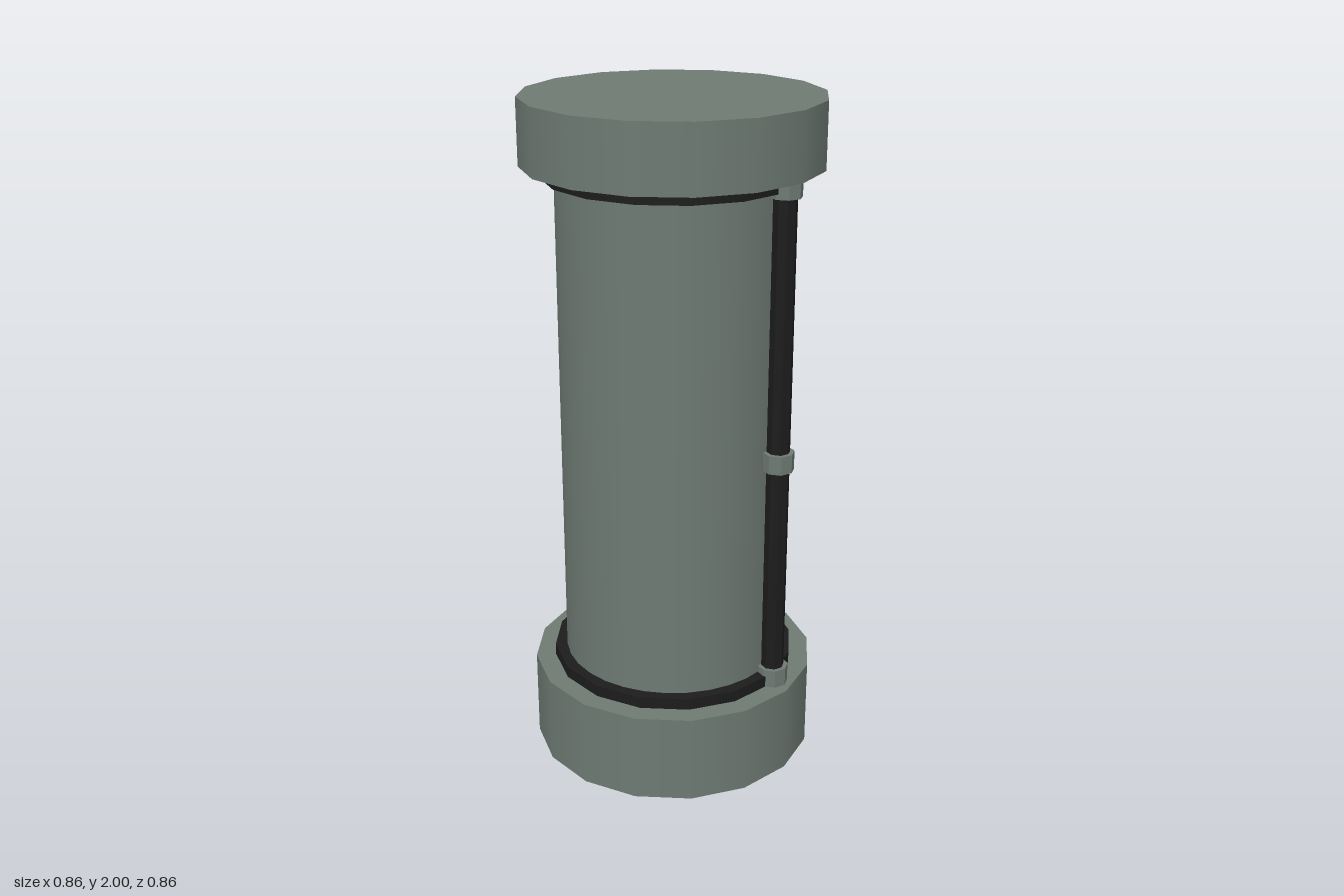
import * as THREE from 'three';
import { toCreasedNormals } from 'three/addons/utils/BufferGeometryUtils.js';

export function createModel() {
  const model = new THREE.Group();
  model.name = 'cappedColumn';

  const metal = new THREE.MeshStandardMaterial({ color: 0x6e7a73 });
  metal.name = 'greenish grey metal';
  const rubber = new THREE.MeshStandardMaterial({ color: 0x1c1c1c });
  rubber.name = 'black rubber';

  // Upright cylinder between two heights; faceted ones keep their edges sharp
  function drum(name, material, radius, bottom, top, sides, x = 0, z = 0, faceted = false) {
    let geometry = new THREE.CylinderGeometry(radius, radius, top - bottom, sides);
    if (faceted) geometry = toCreasedNormals(geometry, 0.3);
    const mesh = new THREE.Mesh(geometry, material);
    mesh.name = name;
    mesh.position.set(x, (bottom + top) / 2, z);
    model.add(mesh);
  }

  // Main body: base, column and top cap
  drum('base', metal, 0.43, 0, 0.27, 16);
  drum('column', metal, 0.333, 0.27, 1.81, 32);
  drum('topCap', metal, 0.43, 1.81, 2, 16);

  // Dark seals where the column meets the base and the cap
  drum('lowerSeal', rubber, 0.37, 0.27, 0.305, 16);
  drum('upperSeal', rubber, 0.37, 1.775, 1.81, 16);

  // A pipe on each side, held by three collars
  for (const [side, sign] of [['left', 1], ['right', -1]]) {
    const x = sign * 0.36;
    const z = -0.025;
    drum(side + 'Pipe', rubber, 0.034, 0.27, 1.81, 8, x, z, true);
    [['Lower', 0.27, 0.326], ['Middle', 0.968, 1.024], ['Upper', 1.76, 1.81]].forEach(([level, bottom, top]) =>
      drum(side + level + 'Collar', metal, 0.047, bottom, top, 8, x, z, true));
  }

  return model;
}
